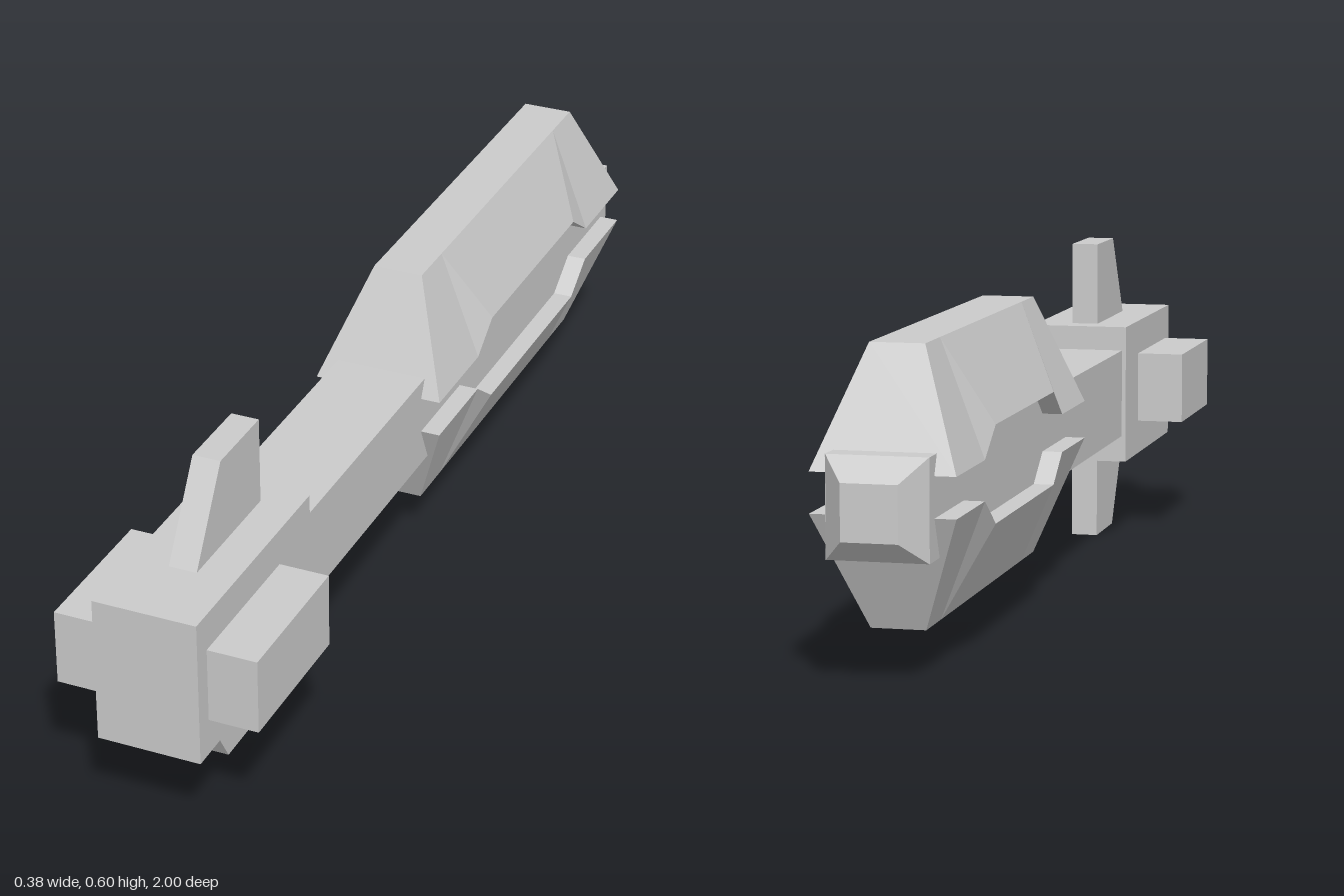
import * as THREE from 'three';

const material = new THREE.MeshStandardMaterial({ color: 0xcccccc, flatShading: true });

function add(group, name, geometry, x = 0, y = 0, z = 0) {
  const mesh = new THREE.Mesh(geometry, material);
  mesh.name = name;
  mesh.position.set(x, y, z);
  group.add(mesh);
  return mesh;
}

// Tapered casing: cross-sections along z, narrow on top, with an arch cut into the lower edge
function casingGeometry() {
  // [top z, bottom z, bottom y]
  const stations = [
    [-0.055, 0.04, 0.355], [-0.15, -0.15, 0.355], [-0.22, -0.22, 0.405],
    [-0.655, -0.655, 0.405], [-0.73, -0.73, 0.355], [-0.825, -0.92, 0.355],
  ];
  // Corners of each section: top left, top right, bottom right, bottom left
  const rings = stations.map(([tz, bz, by]) => [
    [0.048, 0.56, tz], [-0.048, 0.56, tz], [-0.125, by, bz], [0.125, by, bz],
  ]);
  const positions = [];
  const tri = (a, b, c) => positions.push(...a, ...b, ...c);
  const quad = (a, b, c, d) => { tri(a, b, c); tri(a, c, d); };
  for (let i = 0; i < rings.length - 1; i++) {
    const [tl, tr, br, bl] = rings[i];
    const [tl2, tr2, br2, bl2] = rings[i + 1];
    quad(tl, tl2, tr2, tr);
    quad(bl, br, br2, bl2);
    // The side creases run from the top edge to the ends of the arch
    if (i < 3) {
      quad(tl, bl, bl2, tl2);
      quad(br2, br, tr, tr2);
    } else {
      quad(bl, bl2, tl2, tl);
      quad(tr2, br2, br, tr);
    }
  }
  const [tl, tr, br, bl] = rings[0];
  quad(tl, tr, br, bl);
  const [tl2, tr2, br2, bl2] = rings[rings.length - 1];
  quad(tl2, bl2, br2, tr2);
  const geometry = new THREE.BufferGeometry();
  geometry.setAttribute('position', new THREE.Float32BufferAttribute(positions, 3));
  geometry.computeVertexNormals();
  return geometry;
}

// Upright fin with a sloping front edge, based on the head block
function finGeometry() {
  const shape = new THREE.Shape([
    new THREE.Vector2(-0.855, 0.137), new THREE.Vector2(-0.605, 0.137),
    new THREE.Vector2(-0.605, 0.3), new THREE.Vector2(-0.755, 0.3),
  ]);
  return new THREE.ExtrudeGeometry(shape, { depth: 0.052, bevelEnabled: false })
    .translate(0, 0, -0.026)
    .rotateY(Math.PI / 2);
}

export function createModel() {
  const model = new THREE.Group();
  model.name = 'model';

  // Long square shaft with a tapered tail
  add(model, 'shaft', new THREE.BoxGeometry(0.176, 0.175, 1.55), 0, 0.3025, -0.175);
  const tail = new THREE.CylinderGeometry(0.0875 * Math.SQRT2, 0.0485 * Math.SQRT2, 0.05, 4)
    .rotateY(Math.PI / 4)
    .rotateX(Math.PI / 2);
  add(model, 'tail', tail, 0, 0.3025, -0.975);

  // Head block with side pods and fins
  add(model, 'head', new THREE.BoxGeometry(0.192, 0.275, 0.445), 0, 0.3, 0.7775);
  for (const side of [1, -1]) {
    add(model, side > 0 ? 'leftPod' : 'rightPod',
      new THREE.BoxGeometry(0.094, 0.14, 0.285), side * 0.141, 0.3, 0.8225);
  }
  const fin = finGeometry();
  add(model, 'upperFin', fin, 0, 0.3, 0);
  add(model, 'lowerFin', fin, 0, 0.3, 0).rotation.z = Math.PI;

  // Casings above and below the rear of the shaft
  const casing = casingGeometry();
  add(model, 'upperCasing', casing);
  add(model, 'lowerCasing', casing, 0, 0.64, 0).rotation.z = Math.PI;

  return model;
}
